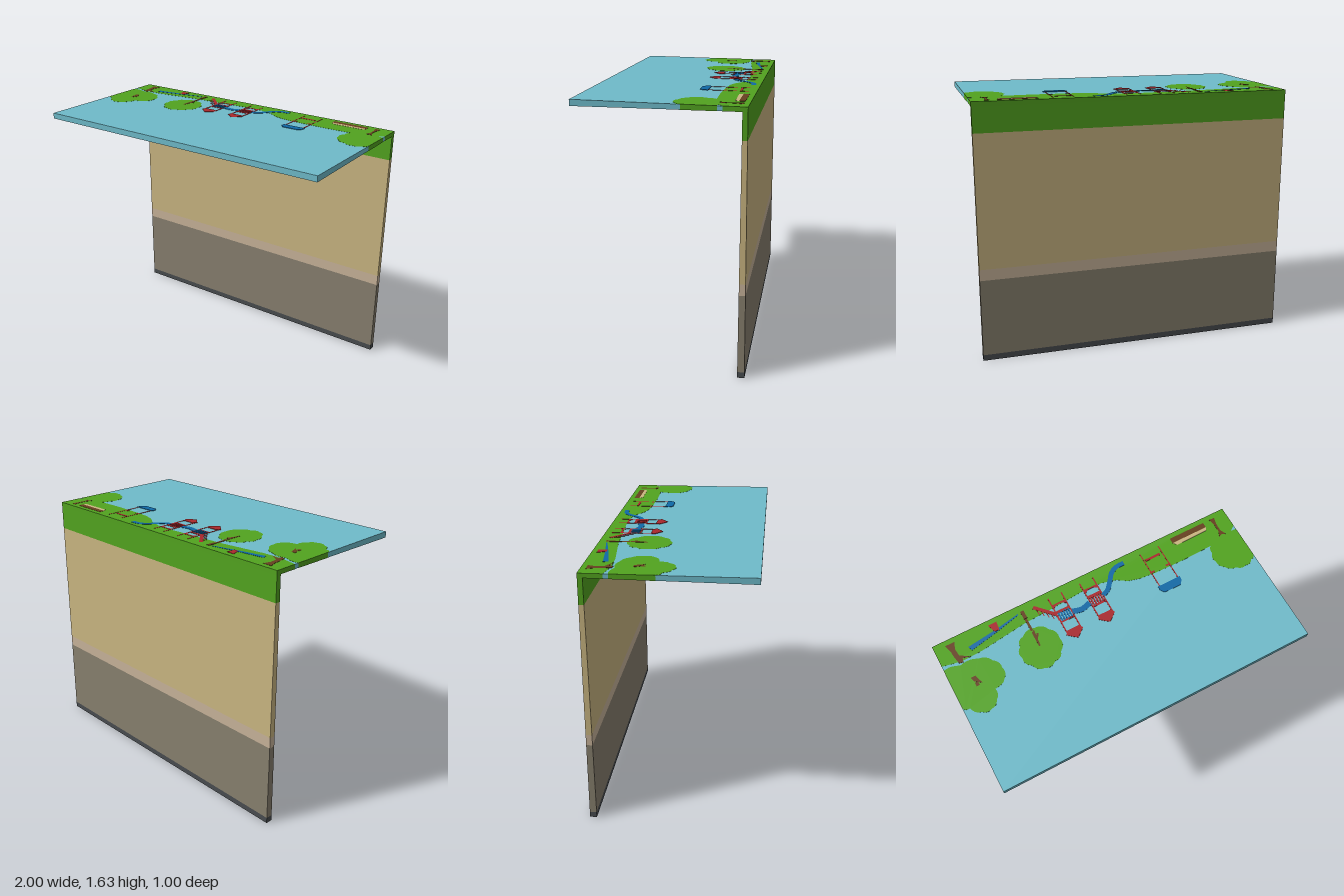
import * as THREE from 'three';

const mat = (name, color) => Object.assign(new THREE.MeshStandardMaterial({ color }), { name });

export function createModel() {
  const model = new THREE.Group();
  model.name = 'playgroundPanel';
  const sky = mat('sky blue', 0x6fbbca), green = mat('grass green', 0x52a31f), red = mat('play red', 0xa9282c);
  const blue = mat('play blue', 0x0f69a6), brown = mat('bark brown', 0x66401f), sand = mat('sand', 0xc9b581);
  const clay = mat('pale clay', 0xc7b299), stone = mat('stone', 0x877f6e), dark = mat('dark base', 0x484c4f);

  const BOTTOM = 1.588, EDGE = 1.0005;
  const topAt = z => 1.6135 + (z + 0.487) * 0.012; // gently rising top surface
  const backAt = y => -0.5 + 0.013 * y / 1.61;      // slightly tapering wall

  function add(parent, name, geometry, material) {
    const mesh = new THREE.Mesh(geometry, material);
    mesh.name = name;
    parent.add(mesh);
    return mesh;
  }
  const group = name => {
    const g = new THREE.Group();
    g.name = name;
    model.add(g);
    return g;
  };

  // Extrudes an (x, z) outline between two height rules
  function slab(shape, low, high) {
    const g = new THREE.ExtrudeGeometry(shape, { depth: 1, bevelEnabled: false, curveSegments: 5 });
    g.rotateX(-Math.PI / 2);
    const p = g.attributes.position;
    for (let i = 0; i < p.count; i++) {
      const z = p.getZ(i);
      p.setX(i, THREE.MathUtils.clamp(p.getX(i), -EDGE, EDGE));
      p.setY(i, p.getY(i) > 0.5 ? high(z) : low(z));
    }
    g.computeVertexNormals();
    return g;
  }
  const outline = pts => new THREE.Shape(pts.map(([x, z]) => new THREE.Vector2(x, -z)));
  const rect = (x0, x1, z0, z1) => outline([[x0, z0], [x1, z0], [x1, z1], [x0, z1]]);

  // Green areas run through the whole panel thickness
  const inlay = (parent, name, shape) =>
    add(parent, name, slab(shape, () => BOTTOM - 0.0008, z => topAt(z) + 0.0008), green);

  // Small painted figures: thin plates on the upper and lower faces
  function paint(parent, name, shape, material, lift = 0.002) {
    add(parent, name, slab(shape, z => topAt(z) - 0.001, z => topAt(z) + lift), material);
    add(parent, name + 'Underside', slab(shape, () => BOTTOM - lift, () => BOTTOM + 0.001), material);
  }

  // Outline of a stroke following points
  function stroke(pts, width, steps = 1) {
    const curve = steps > 1 ? new THREE.SplineCurve(pts.map(p => new THREE.Vector2(...p))) : null;
    const path = curve ? curve.getPoints(steps) : pts.map(p => new THREE.Vector2(...p));
    const a = [], b = [];
    path.forEach((p, i) => {
      const d = path[Math.min(i + 1, path.length - 1)].clone().sub(path[Math.max(i - 1, 0)]).normalize();
      a.push([p.x - d.y * width / 2, p.y + d.x * width / 2]);
      b.unshift([p.x + d.y * width / 2, p.y - d.x * width / 2]);
    });
    return outline([...a, ...b]);
  }

  // Leafy outline with a bulge between neighbouring points
  function canopy(pts, cx, cz, bulge = 0.04) {
    const s = new THREE.Shape();
    s.moveTo(pts[0][0], -pts[0][1]);
    pts.forEach(([x, z], i) => {
      const [nx, nz] = pts[(i + 1) % pts.length];
      const mx = (x + nx) / 2, mz = (z + nz) / 2, r = Math.hypot(mx - cx, mz - cz);
      s.quadraticCurveTo(mx + (mx - cx) / r * bulge, -(mz + (mz - cz) / r * bulge), nx, -nz);
    });
    return s;
  }

  // Wall of horizontal colour bands
  const wall = group('wall');
  [['baseBand', 0, 0.037, dark], ['stoneBand', 0.037, 0.527, stone], ['clayBand', 0.527, 0.597, clay],
    ['sandBand', 0.597, 1.43, sand], ['grassBand', 1.43, BOTTOM, green]].forEach(([name, y0, y1, m]) => {
    const g = new THREE.BoxGeometry(2, y1 - y0, 1).translate(0, (y0 + y1) / 2, 0);
    const p = g.attributes.position;
    for (let i = 0; i < p.count; i++) p.setZ(i, p.getZ(i) > 0 ? -0.457 : backAt(p.getY(i)));
    g.computeVertexNormals();
    add(wall, name, g, m);
  });

  // Overhanging panel with grass
  const panel = group('panel');
  add(panel, 'skyPanel', slab(rect(-1, 1, -0.487, 0.5), () => BOTTOM, topAt), sky);
  inlay(panel, 'grass', outline([[-EDGE, -0.4876], [EDGE, -0.4876], [EDGE, -0.35], [0.95, -0.31], [0.8, -0.29],
    [0.6, -0.285], [0.4, -0.29], [0.3, -0.3], [0.23, -0.32], [0.17, -0.36], [0.08, -0.385], [-0.05, -0.39],
    [-0.25, -0.375], [-0.45, -0.365], [-0.6, -0.345], [-0.75, -0.325], [-0.87, -0.32], [-0.93, -0.33], [-EDGE, -0.345]]));

  // Trees
  const trees = group('trees');
  inlay(trees, 'leftCanopy', canopy([[-1, -0.315], [-0.9, -0.3], [-0.79, -0.29], [-0.72, -0.24], [-0.69, -0.17],
    [-0.71, -0.1], [-0.78, -0.07], [-0.8, -0.01], [-0.85, 0.03], [-0.91, 0.02], [-0.96, -0.03], [-1, -0.06]], -0.87, -0.15, 0.025));
  inlay(trees, 'middleCanopy', canopy([[-0.5, -0.29], [-0.41, -0.31], [-0.34, -0.26], [-0.31, -0.18], [-0.34, -0.1],
    [-0.4, -0.06], [-0.47, -0.05], [-0.53, -0.1], [-0.56, -0.17], [-0.54, -0.24]], -0.435, -0.18, 0.03));
  inlay(trees, 'rightCanopy', canopy([[1, -0.32], [0.81, -0.3], [0.78, -0.24], [0.77, -0.18], [0.8, -0.12],
    [0.86, -0.085], [0.92, -0.07], [0.97, -0.09], [1, -0.12]], 0.93, -0.2, 0.022));
  paint(trees, 'leftTrunk', outline([[-0.93, -0.455], [-0.87, -0.455], [-0.885, -0.41], [-0.88, -0.36], [-0.82, -0.325],
    [-0.87, -0.335], [-0.875, -0.31], [-0.9, -0.315], [-0.91, -0.36], [-0.915, -0.41]]), brown);
  paint(trees, 'leftBranch', outline([[-0.85, -0.2], [-0.83, -0.14], [-0.87, -0.17], [-0.88, -0.2]]), brown);
  paint(trees, 'leftTwig', rect(-0.87, -0.85, -0.16, -0.135), brown);
  paint(trees, 'middleTrunk', outline([[-0.44, -0.445], [-0.425, -0.445], [-0.425, -0.3], [-0.44, -0.3]]), brown);
  paint(trees, 'middleFoot', rect(-0.442, -0.42, -0.445, -0.39), brown, 0.003);
  paint(trees, 'middleBranch', outline([[-0.44, -0.29], [-0.42, -0.3], [-0.43, -0.19], [-0.44, -0.19]]), brown);
  paint(trees, 'middleTwig', stroke([[-0.43, -0.24], [-0.41, -0.27]], 0.012), brown);
  paint(trees, 'rightTrunk', outline([[0.885, -0.455], [0.92, -0.455], [0.91, -0.41], [0.908, -0.36], [0.925, -0.32],
    [0.9, -0.33], [0.88, -0.32], [0.895, -0.36], [0.895, -0.41]]), brown);

  // Seesaw
  const seesaw = group('seesaw');
  paint(seesaw, 'seesawPlank', outline([[-0.81, -0.385], [-0.62, -0.41], [-0.46, -0.44], [-0.46, -0.432], [-0.62, -0.392],
    [-0.8, -0.355]]), blue);
  paint(seesaw, 'seesawPivot', outline([[-0.63, -0.4], [-0.6, -0.4], [-0.595, -0.455], [-0.65, -0.455]]), red, 0.003);

  // Climbing frame: two towers, stairs, bridge and slide
  const frame = group('climbingFrame');
  [[-0.21, 'left'], [0.005, 'right']].forEach(([cx, side]) => {
    const box = (name, x0, x1, z0, z1, m, lift) => paint(frame, side + name, rect(cx + x0, cx + x1, z0, z1), m, lift);
    for (const s of [-1, 1]) {
      paint(frame, side + 'Post', stroke([[cx + s * 0.045, -0.445], [cx + s * 0.045, -0.18]], 0.008), red);
      paint(frame, side + 'Brace', outline([[cx + s * 0.045, -0.395], [cx + s * 0.015, -0.385], [cx + s * 0.045, -0.365]]), red);
    }
    box('LowerBar', -0.045, 0.045, -0.393, -0.383, red);
    box('Deck', -0.048, 0.048, -0.345, -0.325, red);
    box('Rail', -0.045, 0.045, -0.275, -0.262, red);
    for (let i = 0; i < 5; i++) {
      const x = -0.032 + i * 0.016;
      box('Slat', x - 0.005, x + 0.005, -0.33, -0.27, side === 'left' ? blue : red, 0.003);
    }
    paint(frame, side + 'Roof', outline([[cx - 0.04, -0.2], [cx + 0.04, -0.2], [cx + 0.055, -0.175], [cx + 0.02, -0.145],
      [cx, -0.13], [cx - 0.02, -0.145], [cx - 0.055, -0.175]]), red, 0.003);
  });
  paint(frame, 'stairs', stroke([[-0.36, -0.435], [-0.255, -0.325]], 0.022), red);
  for (let i = 0; i < 5; i++) {
    const x = -0.35 + i * 0.022, z = -0.425 + i * 0.023;
    paint(frame, 'stairBaluster', rect(x, x + 0.005, z, z + 0.05), red);
  }
  paint(frame, 'bridge', stroke([[-0.165, -0.3], [-0.105, -0.285], [-0.045, -0.3]], 0.036, 10), blue);
  paint(frame, 'slide', stroke([[0.05, -0.308], [0.09, -0.325], [0.13, -0.37], [0.165, -0.415], [0.21, -0.44], [0.265, -0.443]],
    0.03, 20), blue);

  // Sheltered play stand
  const stand = group('playStand');
  for (const x of [0.382, 0.51]) paint(stand, 'standPost', rect(x - 0.003, x + 0.003, -0.445, -0.195), red);
  paint(stand, 'standSeat', rect(0.39, 0.492, -0.4, -0.385), red);
  for (const x of [0.39, 0.5]) paint(stand, 'standBracket', rect(x - 0.015, x + 0.015, -0.308, -0.296), red);
  paint(stand, 'standRoof', outline([[0.37, -0.198], [0.523, -0.198], [0.52, -0.17], [0.5, -0.145], [0.39, -0.145],
    [0.37, -0.17]]), blue, 0.003);

  // Sandpit
  const pit = group('sandpit');
  paint(pit, 'sandpitBorder', rect(0.6, 0.84, -0.455, -0.42), brown);
  paint(pit, 'sandpitSand', outline([[0.6, -0.42], [0.84, -0.42], [0.83, -0.398], [0.62, -0.395]]), sand);

  return model;
}
